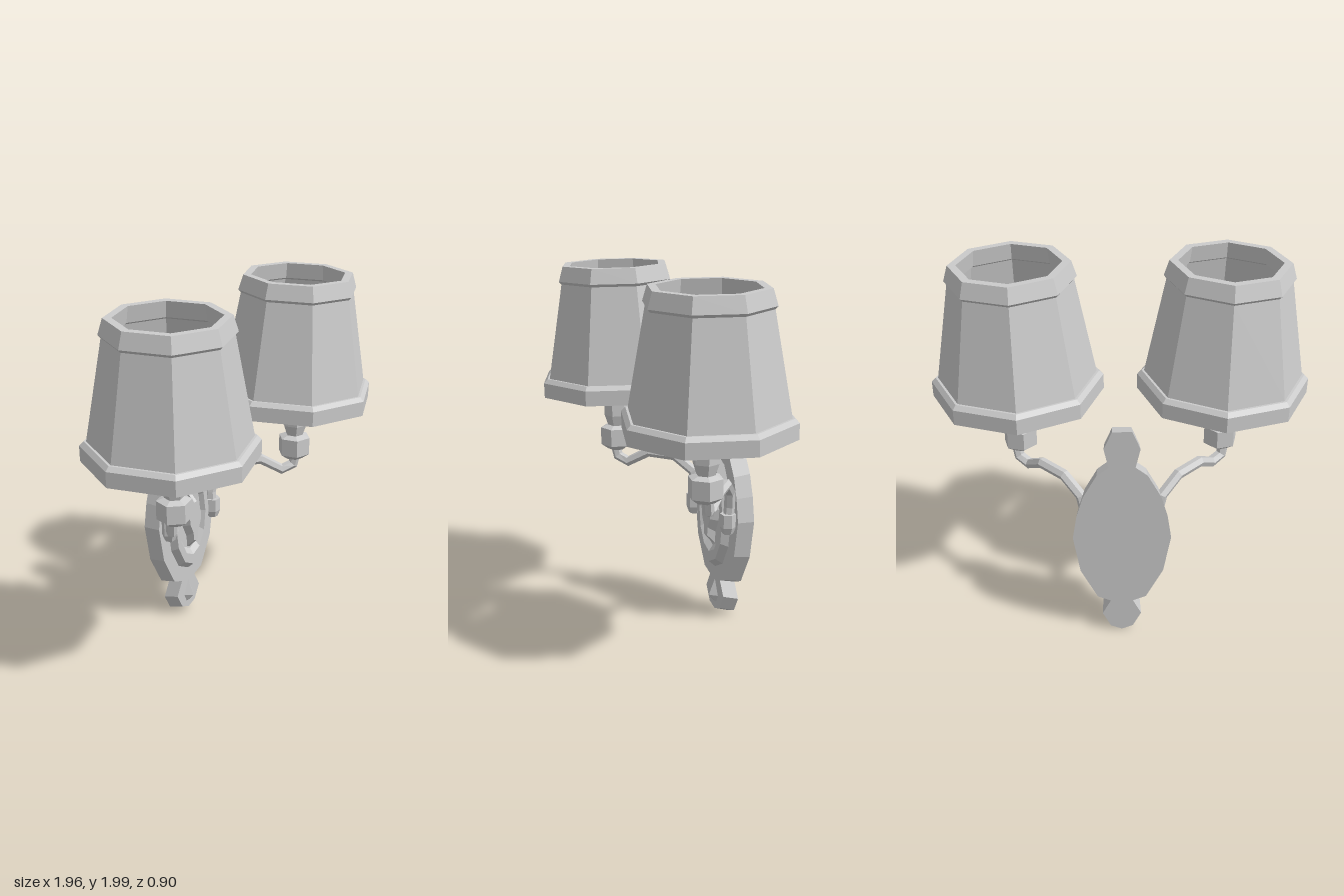
import * as THREE from 'three';

const material = new THREE.MeshStandardMaterial({ color: 0xcccccc, flatShading: true });

function add(parent, name, geometry, x = 0, y = 0, z = 0) {
  const mesh = new THREE.Mesh(geometry, material);
  mesh.name = name;
  mesh.position.set(x, y, z);
  parent.add(mesh);
  return mesh;
}

function lathe(profile, sides, start = 0) {
  return new THREE.LatheGeometry(profile.map(([r, y]) => new THREE.Vector2(r, y)), sides, start);
}

// Symmetric plate from a right-hand outline (bottom to top); its front shrinks towards height cy
function plate(half, zBack, zFront, scale, cy) {
  const left = half.filter(([x]) => x > 0).reverse().map(([x, y]) => [-x, y]);
  const shape = new THREE.Shape([...half, ...left].map(([x, y]) => new THREE.Vector2(x, y)));
  const geo = new THREE.ExtrudeGeometry(shape, { depth: zFront - zBack, bevelEnabled: false });
  const p = geo.attributes.position;
  for (let i = 0; i < p.count; i++) {
    const front = p.getZ(i) > 1e-4;
    const k = front ? scale : 1;
    p.setXYZ(i, p.getX(i) * k, cy + (p.getY(i) - cy) * k, front ? zFront : zBack);
  }
  geo.computeVertexNormals();
  return geo;
}

// Tube with one straight segment between neighbouring points
function bentTube(points, radius, sides) {
  const curve = new THREE.CatmullRomCurve3(points.map(p => new THREE.Vector3(...p)));
  curve.getPointAt = (u, t) => curve.getPoint(u, t);
  curve.getTangentAt = (u, t) => curve.getTangent(u, t);
  return new THREE.TubeGeometry(curve, points.length - 1, radius, sides);
}

function createWallPlate() {
  const group = new THREE.Group();
  group.name = 'wallPlate';

  add(group, 'backPlate', plate([
    [0, 0.005], [0.06, 0.03], [0.105, 0.12], [0.06, 0.21], [0.13, 0.24], [0.22, 0.42],
    [0.257, 0.64], [0.235, 0.78], [0.2, 0.9], [0.13, 1.03], [0.068, 1.08], [0.092, 1.19], [0.05, 1.29],
  ], -0.455, -0.36, 0.95, 0.7));

  // Raised oval rim with a dished middle
  const oval = lathe([[1, 0], [0.88, 0.045], [0.7, 0.045], [0.6, 0.02], [0, 0.02]], 12);
  oval.rotateX(Math.PI / 2).scale(0.168, 0.34, 1);
  add(group, 'medallion', oval, 0, 0.64, -0.362);

  add(group, 'centreOrnament', plate([
    [0, 0.44], [0.025, 0.45], [0.03, 0.52], [0.065, 0.6], [0.073, 0.67], [0.035, 0.76],
    [0.042, 0.83], [0.018, 0.79], [0, 0.785],
  ], -0.35, -0.295, 0.7, 0.64));

  add(group, 'upperGem', plate(
    [[0, 1.02], [0.042, 1.17], [0.02, 1.235]], -0.365, -0.33, 0.1, 1.17));
  add(group, 'lowerGem', plate(
    [[0.02, 0.08], [0.042, 0.13], [0, 0.235]], -0.365, -0.325, 0.1, 0.13));
  return group;
}

// One arm with candle and shade; s = 1 for left, -1 for right
function createLight(s) {
  const group = new THREE.Group();
  group.name = s > 0 ? 'leftLight' : 'rightLight';
  const cx = 0.54 * s;

  add(group, 'arm', bentTube([
    [0.19, 0.62, -0.325], [0.192, 0.73, -0.335], [0.212, 0.82, -0.325], [0.3, 0.9, -0.25], [0.42, 0.905, -0.14],
    [0.495, 0.84, -0.045], [0.55, 0.865, -0.005], [0.565, 0.95, 0.01],
  ].map(([x, y, z]) => [x * s, y, z]), 0.03, 6));

  add(group, 'armSocket', lathe([
    [0, 0.575], [0.03, 0.575], [0.045, 0.615], [0.045, 0.69], [0, 0.69],
  ], 6, Math.PI / 6), 0.195 * s, 0, -0.325);

  add(group, 'candle', lathe([
    [0, 0.915], [0.05, 0.915], [0.092, 0.945], [0.092, 1.045], [0.05, 1.06],
    [0.07, 1.12], [0.07, 1.36], [0, 1.44],
  ], 6, 0.25 * s), cx, 0, 0.008);

  // Slightly tilted shade and its four spokes
  const shade = new THREE.Group();
  shade.name = 'shade';
  shade.position.set(cx, 1.63, 0);
  shade.rotation.set(0.018, 0, -0.018 * s);
  group.add(shade);
  add(shade, 'shadeShell', lathe([
    [0.415, 1.268], [0.447, 1.268], [0.447, 1.35], [0.425, 1.372], [0.412, 1.372],
    [0.316, 1.89], [0.33, 1.905], [0.305, 1.986], [0.262, 1.986], [0.275, 1.9],
    [0.29, 1.89], [0.4, 1.36], [0.415, 1.268],
  ], 8, 0.045 * s), 0, -1.63, 0);
  for (let i = 0; i < 4; i++) {
    const spoke = new THREE.BoxGeometry(0.38, 0.035, 0.035);
    spoke.translate(0.2, 0, 0).rotateY(Math.PI / 4 + i * Math.PI / 2);
    add(shade, 'shadeSpoke', spoke, 0, 1.36 - 1.63, 0);
  }
  return group;
}

export function createModel() {
  const model = new THREE.Group();
  model.name = 'wallLamp';
  model.add(createWallPlate(), createLight(1), createLight(-1));
  return model;
}
